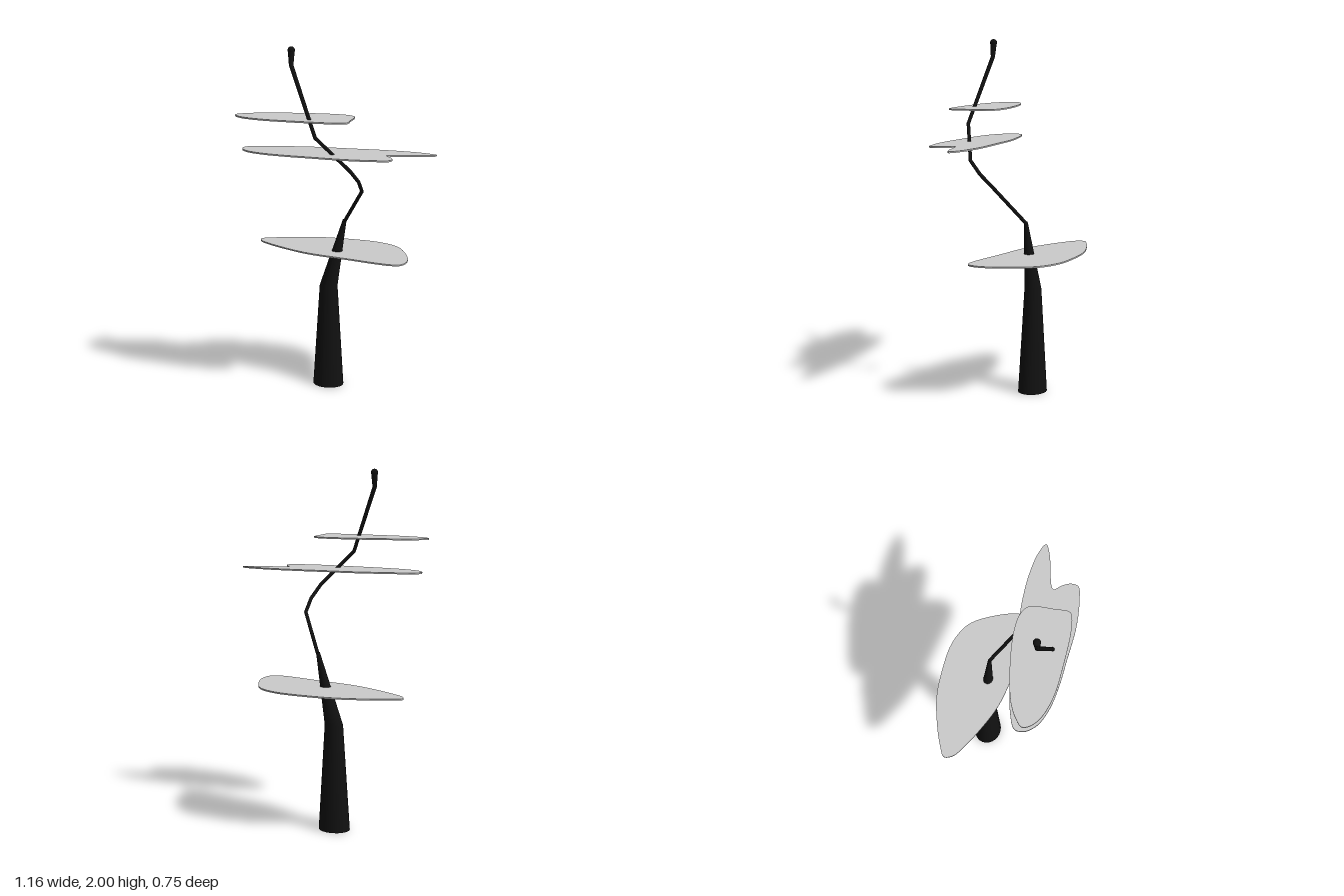
import * as THREE from 'three';

const black = new THREE.MeshStandardMaterial({ color: 0x111111 });
const grey = new THREE.MeshStandardMaterial({ color: 0xcccccc });

// Tapered limb through rings [x, y, z, radius]; level rings stay horizontal
function limb(name, rings, { level = false, depth = 1 } = {}) {
  const n = rings.length - 1;
  const geo = new THREE.CylinderGeometry(1, 1, 1, 24, n);
  const centres = rings.map(([x, y, z]) => new THREE.Vector3(x, y, z));
  const up = new THREE.Vector3(0, 1, 0);
  const turns = centres.map((c, i) => {
    const dir = (a, b) => centres[b].clone().sub(centres[a]).normalize();
    const t = new THREE.Vector3();
    if (i > 0) t.add(dir(i - 1, i));
    if (i < n) t.add(dir(i, i + 1));
    return new THREE.Quaternion().setFromUnitVectors(up, level ? up : t.normalize());
  });
  const pos = geo.attributes.position;
  const v = new THREE.Vector3();
  for (let k = 0; k < pos.count; k++) {
    const i = Math.round((pos.getY(k) + 0.5) * n);
    const r = rings[i][3];
    v.set(pos.getX(k) * r, 0, pos.getZ(k) * r * depth);
    v.applyQuaternion(turns[i]).add(centres[i]);
    pos.setXYZ(k, v.x, v.y, v.z);
  }
  geo.computeVertexNormals();
  const mesh = new THREE.Mesh(geo, black);
  mesh.name = name;
  return mesh;
}

// Thin flat plate from a smooth closed outline of [x, z] points
function plate(name, y, outline) {
  const curve = new THREE.CatmullRomCurve3(
    outline.map(([x, z]) => new THREE.Vector3(x, z, 0)), true, 'centripetal');
  const pts = curve.getPoints(outline.length * 6).slice(0, -1);
  const shape = new THREE.Shape(pts.map((p) => new THREE.Vector2(p.x, p.y)));
  const geo = new THREE.ExtrudeGeometry(shape, { depth: 0.008, bevelEnabled: false });
  geo.rotateX(Math.PI / 2);
  const mesh = new THREE.Mesh(geo, grey);
  mesh.name = name;
  mesh.position.y = y + 0.004;
  return mesh;
}

export function createModel() {
  const model = new THREE.Group();
  model.name = 'treeSculpture';

  // Thick tapering trunk with an oval section
  model.add(limb('trunk', [
    [-0.11, 0, -0.083, 0.091],
    [-0.108, 0.6, -0.085, 0.053],
    [-0.012, 1.0, -0.102, 0.011],
  ], { level: true, depth: 0.87 }));

  // Thin bent stem, swelling towards the tip
  model.add(limb('stem', [
    [-0.013, 0.99, -0.104, 0.01],
    [0.15, 1.2, 0.005, 0.01],
    [0.167, 1.27, 0.08, 0.01],
    [0.155, 1.34, 0.155, 0.01],
    [0.01, 1.53, 0.28, 0.01],
    [-0.16, 1.9, 0.232, 0.012],
    [-0.161, 1.98, 0.228, 0.019],
  ]));

  // Rounded tip
  const tip = new THREE.Mesh(new THREE.SphereGeometry(0.02, 20, 14), black);
  tip.name = 'tip';
  tip.position.set(-0.161, 1.98, 0.228);
  model.add(tip);

  // Three flat foliage plates
  model.add(plate('lowerFoliage', 0.807, [
    [-0.58, -0.13], [-0.525, -0.18], [-0.415, -0.25], [-0.27, -0.32], [-0.105, -0.36],
    [0.05, -0.377], [0.175, -0.352], [0.24, -0.31], [0.33, -0.2], [0.38, -0.11],
    [0.394, -0.045], [0.383, 0], [0.34, 0.022], [0.25, 0.03], [0.065, 0.028],
    [-0.18, 0.027], [-0.355, -0.01], [-0.48, -0.05], [-0.555, -0.085],
  ]));
  model.add(plate('middleFoliage', 1.434, [
    [-0.448, 0.24], [-0.385, 0.19], [-0.26, 0.13], [-0.105, 0.07], [0.08, 0.025],
    [0.235, -0.015], [0.375, -0.04], [0.515, -0.045], [0.578, -0.027], [0.53, 0.014],
    [0.42, 0.067], [0.36, 0.1], [0.35, 0.116], [0.39, 0.148], [0.42, 0.19],
    [0.42, 0.23], [0.36, 0.262], [0.205, 0.31], [0, 0.34], [-0.13, 0.358],
    [-0.27, 0.363], [-0.38, 0.34], [-0.44, 0.29],
  ]));
  model.add(plate('upperFoliage', 1.62, [
    [-0.475, 0.29], [-0.445, 0.245], [-0.38, 0.19], [-0.245, 0.123], [-0.105, 0.07],
    [-0.012, 0.045], [0.065, 0.037], [0.127, 0.057], [0.152, 0.104], [0.174, 0.19],
    [0.193, 0.26], [0.183, 0.28], [0.11, 0.312], [-0.105, 0.355], [-0.26, 0.374],
    [-0.385, 0.362], [-0.453, 0.328],
  ]));

  return model;
}
